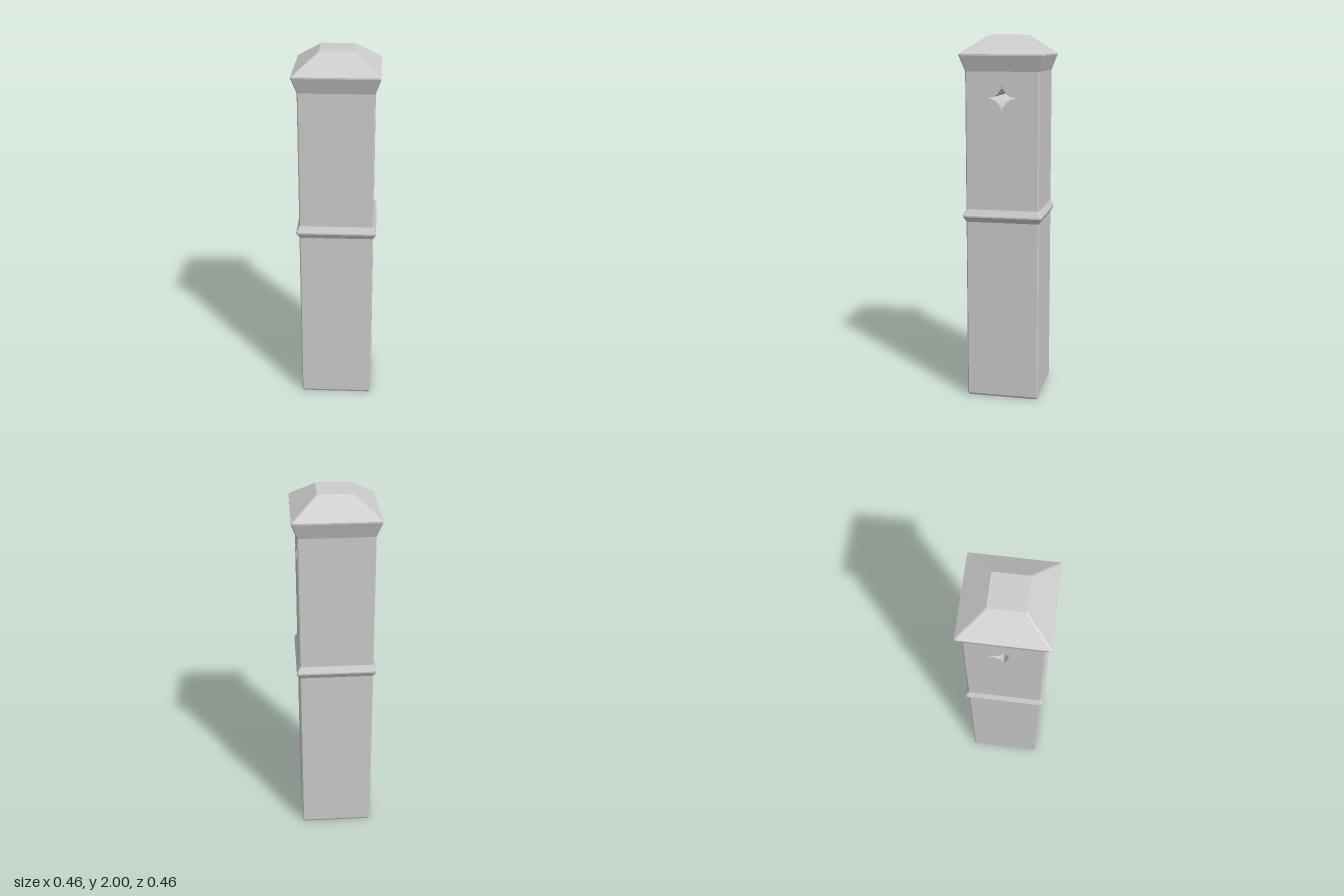
import * as THREE from 'three';

const HALF = 0.2, CHAMFER = 0.006;
const material = new THREE.MeshStandardMaterial({ color: 0xcccccc, flatShading: true });

// Square outline with slightly cut corners, counter-clockwise seen from above
function ring(y, h) {
  const i = h - CHAMFER;
  return [[h, i], [h, -i], [i, -h], [-i, -h], [-h, -i], [-h, i], [-i, h], [i, h]]
    .map(([x, z]) => [x, y, z]);
}

// Skin over a stack of [height, half width] outlines
function loft(name, profile, capBottom, capTop) {
  const rings = profile.map(([y, h]) => ring(y, h));
  const pos = [];
  const tri = (a, b, c) => pos.push(...a, ...b, ...c);
  for (let r = 0; r < rings.length - 1; r++) {
    const lo = rings[r], hi = rings[r + 1];
    for (let k = 0; k < 8; k++) {
      const n = (k + 1) % 8;
      tri(lo[k], lo[n], hi[n]);
      tri(lo[k], hi[n], hi[k]);
    }
  }
  const first = rings[0], last = rings[rings.length - 1];
  for (let k = 1; k < 7; k++) {
    if (capBottom) tri(first[0], first[k + 1], first[k]);
    if (capTop) tri(last[0], last[k], last[k + 1]);
  }
  const geo = new THREE.BufferGeometry();
  geo.setAttribute('position', new THREE.Float32BufferAttribute(pos, 3));
  geo.computeVertexNormals();
  const mesh = new THREE.Mesh(geo, material);
  mesh.name = name;
  return mesh;
}

// Upper shaft, pierced from side to side by a four-pointed star
function piercedShaft(y0, y1, starY) {
  const shape = new THREE.Shape();
  shape.moveTo(-HALF, y0).lineTo(HALF, y0).lineTo(HALF, y1).lineTo(-HALF, y1).closePath();
  const star = new THREE.Path();
  const tips = [[0, 0.08], [0.075, 0], [0, -0.08], [-0.075, 0]];
  star.moveTo(0, starY + 0.08);
  tips.forEach(([x, y], k) => {
    const [nx, ny] = tips[(k + 1) % 4];
    star.quadraticCurveTo((x + nx) * 0.1, starY + (y + ny) * 0.1, nx, starY + ny);
  });
  shape.holes.push(star);

  let geo = new THREE.ExtrudeGeometry(shape, { depth: 2 * HALF, steps: 3, curveSegments: 4, bevelEnabled: false });
  geo.translate(0, 0, -HALF);
  // Pull the inner steps outwards and the end corners in, cutting the upright edges
  const p = geo.attributes.position;
  for (let i = 0; i < p.count; i++) {
    const d = p.getZ(i), w = p.getX(i);
    if (Math.abs(d) < HALF - 0.01) p.setZ(i, Math.sign(d) * (HALF - CHAMFER));
    else if (Math.abs(w) > HALF - 0.01) p.setX(i, Math.sign(w) * (HALF - CHAMFER));
  }
  geo.rotateY(Math.PI / 2);
  geo.computeVertexNormals();
  const mesh = new THREE.Mesh(geo, material);
  mesh.name = 'piercedUpperShaft';
  return mesh;
}

export function createModel() {
  const post = new THREE.Group();
  post.name = 'post';
  post.add(
    loft('lowerShaft', [[0, 0.194], [0.012, HALF], [1.0, HALF]], true, false),
    loft('middleBand', [[1.0, HALF], [1.028, 0.216], [1.036, 0.216], [1.07, HALF]], false, false),
    piercedShaft(1.07, 1.81, 1.67),
    loft('cap', [[1.81, HALF], [1.892, 0.228], [1.9, 0.228], [1.996, 0.098], [2, 0.093]], false, true)
  );
  return post;
}
